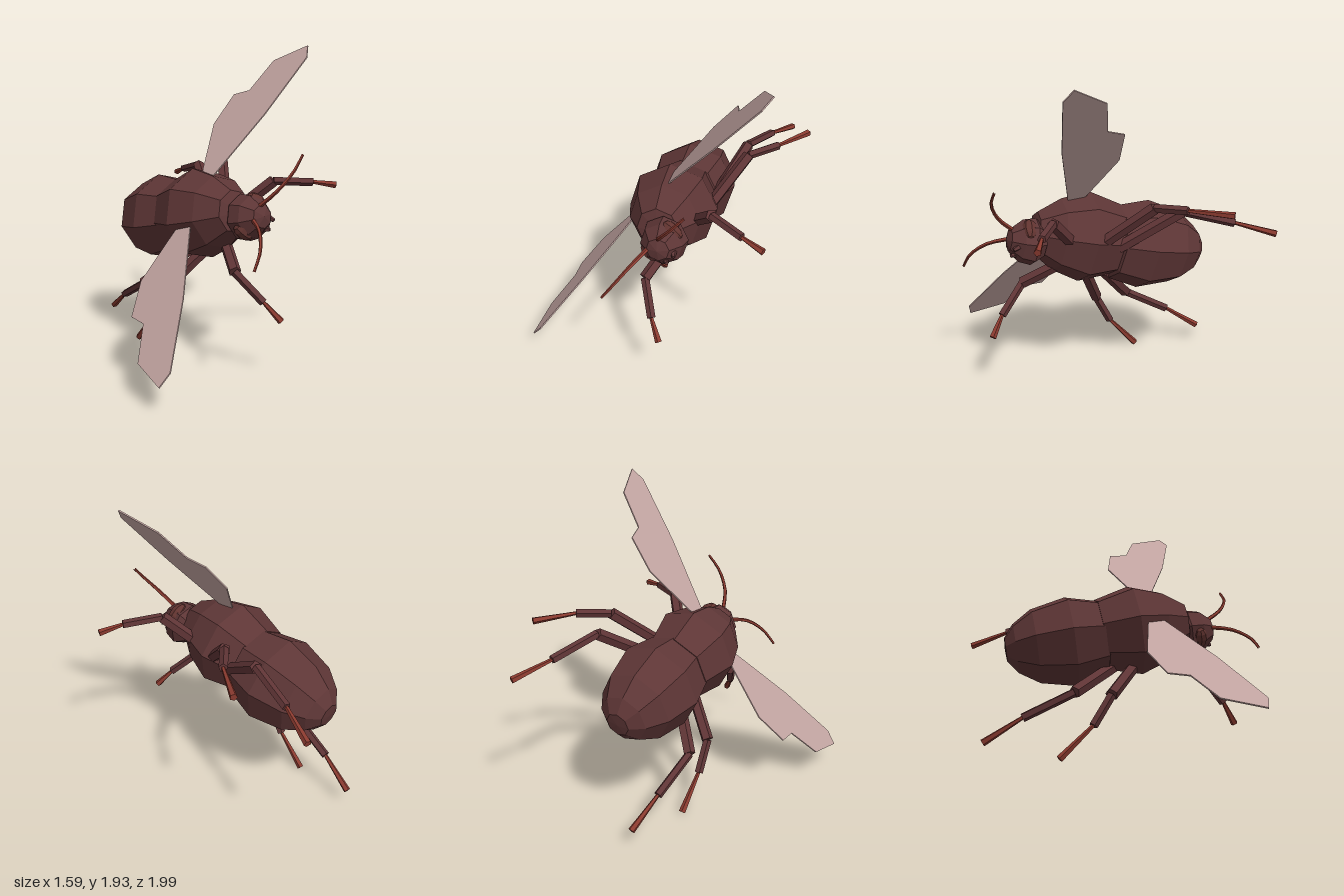
import * as THREE from 'three';

const mat = (name, color, extra = {}) => {
  const m = new THREE.MeshStandardMaterial({ color, flatShading: true, ...extra });
  m.name = name;
  return m;
};

export function createModel() {
  const shell = mat('shellBrown', 0x5e3636);
  const limb = mat('limbBrown', 0x603536);
  const rust = mat('rustRed', 0x8a3a2f);
  const eyeMat = mat('eyeBrown', 0x623430);
  const wingMat = mat('wingPink', 0xc2a4a1, { side: THREE.DoubleSide });

  // The insect is built upright (x side, y back, z forward) and then tilted as a whole.
  const insect = new THREE.Group();
  insect.name = 'insect';
  const add = (name, geo, material) => {
    const m = new THREE.Mesh(geo, material);
    m.name = name;
    insect.add(m);
    return m;
  };

  // Eight-sided body sections: profile of [radius, forward position]
  const section = (name, height, profile) => {
    const geo = new THREE.LatheGeometry(profile.map(([r, z]) => new THREE.Vector2(r, z)), 8);
    geo.rotateX(Math.PI / 2);
    geo.translate(0, height, 0);
    return add(name, geo, shell);
  };
  section('abdomen', 0.53, [[0, -0.605], [0.075, -0.6], [0.155, -0.54], [0.235, -0.42], [0.285, -0.2], [0.235, 0.0], [0, 0.08]]);
  section('thorax', 0.55, [[0, -0.04], [0.225, -0.02], [0.285, 0.2], [0.225, 0.38], [0.13, 0.52], [0, 0.54]]);
  section('head', 0.48, [[0, 0.46], [0.1, 0.48], [0.145, 0.54], [0.13, 0.62], [0.07, 0.69], [0, 0.71]]);

  // A faceted limb segment between two points
  const segment = (name, a, b, r0, r1, material) => {
    const dir = b.clone().sub(a);
    const m = add(name, new THREE.CylinderGeometry(r1, r0, dir.length(), 5), material);
    m.position.copy(a).addScaledVector(dir, 0.5);
    m.quaternion.setFromUnitVectors(new THREE.Vector3(0, 1, 0), dir.normalize());
  };

  // Legs: root, knee, ankle, tip
  const legs = {
    front: [[0.14, 0.41, 0.36], [0.315, 0.387, 0.526], [0.413, 0.2, 0.649], [0.468, 0.07, 0.705]],
    middle: [[0.14, 0.39, 0.17], [0.498, 0.428, -0.05], [0.628, 0.328, -0.185], [0.748, 0.226, -0.4]],
    hind: [[0.13, 0.39, 0.04], [0.46, 0.456, -0.257], [0.508, 0.37, -0.566], [0.558, 0.276, -0.803]],
  };
  // Wing outline: side, forward
  const outline = [[0.15, 0.34], [0.176, 0.351], [0.624, 0.548], [1.042, 0.688], [1.135, 0.655], [1.041, 0.425],
    [0.815, 0.33], [0.79, 0.211], [0.563, 0.152], [0.223, 0.24], [0.15, 0.27]];

  for (const s of [1, -1]) {
    const side = s > 0 ? 'left' : 'right';
    const v = ([x, y, z]) => new THREE.Vector3(s * x, y, z);

    for (const [pair, joints] of Object.entries(legs)) {
      const [root, knee, ankle, tip] = joints.map(v);
      segment(`${side}${pair}Femur`, root, knee, 0.038, 0.038, limb);
      segment(`${side}${pair}Tibia`, knee, ankle, 0.027, 0.027, limb);
      segment(`${side}${pair}Foot`, ankle, tip, 0.012, 0.022, rust);
    }

    // Thin flat wing, leaning slightly down toward the front
    const shape = new THREE.Shape(outline.map(([x, z]) => new THREE.Vector2(s * x, z)));
    const wingGeo = new THREE.ExtrudeGeometry(shape, { depth: 0.008, bevelEnabled: false });
    wingGeo.rotateX(Math.PI / 2 + 0.163);
    wingGeo.translate(0, 0.744, 0);
    add(`${side}Wing`, wingGeo, wingMat);

    // Curved antenna, narrowing toward the tip
    const path = new THREE.CatmullRomCurve3(
      [[0.035, 0.52, 0.66], [0.13, 0.532, 0.79], [0.26, 0.53, 0.865], [0.38, 0.525, 0.876]].map(v));
    const antenna = new THREE.TubeGeometry(path, 8, 0.014, 5);
    const p = antenna.attributes.position;
    for (let i = 0; i < p.count; i++) {
      const t = Math.floor(i / 6) / 8;
      const c = path.getPointAt(t);
      const q = new THREE.Vector3().fromBufferAttribute(p, i).sub(c).multiplyScalar(1 - 0.4 * t).add(c);
      p.setXYZ(i, q.x, q.y, q.z);
    }
    add(`${side}Antenna`, antenna, rust);

    // Oval eye
    const eye = add(`${side}Eye`, new THREE.SphereGeometry(1, 8, 6), eyeMat);
    eye.scale.set(0.045, 0.07, 0.048);
    eye.position.copy(v([0.103, 0.49, 0.59]));

    // Small jaw under the face
    segment(`${side}Jaw`, v([0.05, 0.42, 0.62]), v([0.03, 0.385, 0.68]), 0.025, 0.012, shell);
  }

  // Tilt in flight
  const sideAxis = new THREE.Vector3(0.188, 0.78, -0.597).normalize();
  const forward = new THREE.Vector3(0.838, 0.189, 0.512).normalize();
  const up = forward.clone().cross(sideAxis).normalize();
  forward.crossVectors(sideAxis, up);
  insect.quaternion.setFromRotationMatrix(new THREE.Matrix4().makeBasis(sideAxis, up, forward));
  insect.position.copy(sideAxis).multiplyScalar(0.698);

  const model = new THREE.Group();
  model.name = 'flyingInsect';
  model.add(insect);
  return model;
}
